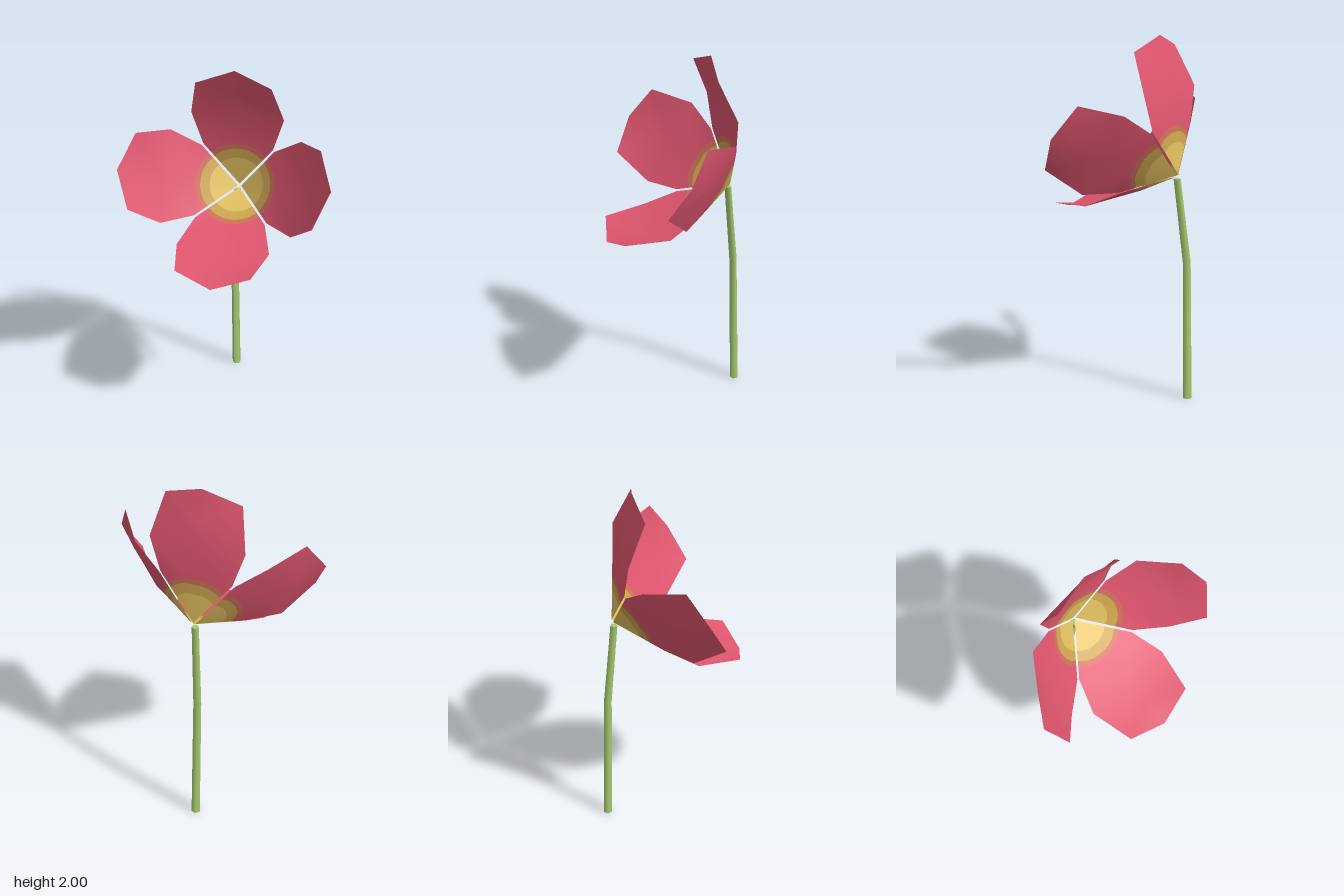
import * as THREE from 'three';

const mat = (name, color, side = THREE.FrontSide) => {
  const m = new THREE.MeshStandardMaterial({ color, side });
  m.name = name;
  return m;
};

// Coarse cupped petal: rows of left edge, spine, right edge (z is the flower axis)
function coarsePetal() {
  const p = [[0, 0.01, 0.006]];
  const rows = [ // half width, edge y, edge z, spine y, spine z
    [0.196, 0.205, 0.168, 0.213, 0.145],
    [0.257, 0.362, 0.277, 0.38, 0.28],
    [0.206, 0.5, 0.47, 0.468, 0.362],
  ];
  for (const [w, ey, ez, sy, sz] of rows) p.push([-w, ey, ez], [0, sy, sz], [w, ey, ez]);
  p.push([0, 0.578, 0.48]);
  const index = [0, 2, 1, 0, 3, 2];
  for (const a of [1, 4]) {
    for (const k of [a, a + 1]) index.push(k, k + 1, k + 4, k, k + 4, k + 3);
  }
  index.push(7, 8, 10, 8, 9, 10);
  const g = new THREE.BufferGeometry();
  g.setAttribute('position', new THREE.Float32BufferAttribute(p.flat(), 3));
  g.setIndex(index);
  g.computeVertexNormals();
  return g;
}

const lerp = (a, b, t) => a.map((v, i) => v + (b[i] - v) * t);
const radius = (v) => Math.hypot(v[0], v[1]);

// Keep the part of a polygon whose distance from the axis is inside (or outside) R
function clip(poly, R, inside) {
  const out = [];
  poly.forEach((a, i) => {
    const b = poly[(i + 1) % poly.length];
    const fa = radius(a) - R, fb = radius(b) - R;
    if (inside ? fa <= 0 : fa >= 0) out.push(a);
    if (fa * fb < 0) out.push(lerp(a, b, fa / (fa - fb)));
  });
  return out;
}

// Split the petal into concentric colour bands
function petalBands(limits) {
  const g = coarsePetal(), pos = g.attributes.position, nor = g.attributes.normal;
  const vert = (i) => [pos.getX(i), pos.getY(i), pos.getZ(i), nor.getX(i), nor.getY(i), nor.getZ(i)];
  const bands = Array.from({ length: limits.length + 1 }, () => ({ p: [], n: [] }));
  const emit = (band, poly) => {
    for (let i = 1; i + 1 < poly.length; i++) {
      for (const v of [poly[0], poly[i], poly[i + 1]]) {
        band.p.push(...v.slice(0, 3));
        band.n.push(...v.slice(3));
      }
    }
  };
  const N = 8, idx = g.index.array;
  for (let t = 0; t < idx.length; t += 3) {
    const [a, b, c] = [0, 1, 2].map((k) => vert(idx[t + k]));
    const at = (i, j) => a.map((v, k) => v + ((b[k] - v) * i + (c[k] - v) * j) / N);
    for (let i = 0; i < N; i++) {
      for (let j = 0; i + j < N; j++) {
        const tris = [[at(i, j), at(i + 1, j), at(i, j + 1)]];
        if (i + j < N - 1) tris.push([at(i + 1, j), at(i + 1, j + 1), at(i, j + 1)]);
        for (let poly of tris) {
          limits.forEach((R, k) => {
            emit(bands[k], clip(poly, R, true));
            poly = clip(poly, R, false);
          });
          emit(bands[limits.length], poly);
        }
      }
    }
  }
  return bands.map(({ p, n }) => {
    const out = new THREE.BufferGeometry();
    out.setAttribute('position', new THREE.Float32BufferAttribute(p, 3));
    out.setAttribute('normal', new THREE.Float32BufferAttribute(n, 3));
    return out;
  });
}

export function createModel() {
  const model = new THREE.Group();
  model.name = 'flower';

  // Blossom: four identical petals around a tilted axis
  const D = THREE.DoubleSide;
  const parts = [
    ['petalHeart', mat('heartYellow', 0xe2c060, D)],
    ['petalInnerRing', mat('ringOchre', 0xcda550, D)],
    ['petalHalo', mat('haloRust', 0xcf6f58, D)],
    ['petalBlade', mat('petalPink', 0xe0566f, D)],
  ];
  const geos = petalBands([0.15, 0.197, 0.222]);
  const blossom = new THREE.Group();
  blossom.name = 'blossom';
  for (let i = 0; i < 4; i++) {
    const petal = new THREE.Group();
    petal.name = 'petal' + (i + 1);
    parts.forEach(([name, material], k) => {
      const mesh = new THREE.Mesh(geos[k], material);
      mesh.name = name;
      petal.add(mesh);
    });
    petal.rotation.z = (i * Math.PI) / 2;
    blossom.add(petal);
  }
  const right = new THREE.Vector3(0.93, 0, -0.37).normalize();
  const up = new THREE.Vector3(-0.198, 0.861, -0.468).normalize();
  const axis = right.clone().cross(up).normalize();
  blossom.applyMatrix4(new THREE.Matrix4().makeBasis(right, up, axis).setPosition(-0.152, 1.26, -0.31));
  model.add(blossom);

  // Stem: a thin prism bent once below the blossom
  const path = [[-0.2, 0, -0.355], [-0.2, 0.78, -0.334], [-0.156, 1.242, -0.298]];
  const stemGeo = new THREE.CylinderGeometry(0.02, 0.025, 2, 5, 2);
  const sp = stemGeo.attributes.position;
  for (let i = 0; i < sp.count; i++) {
    const [x, y, z] = path[Math.round(sp.getY(i) + 1)];
    sp.setXYZ(i, sp.getX(i) + x, y, z - sp.getZ(i) * -1);
  }
  stemGeo.computeVertexNormals();
  const stem = new THREE.Mesh(stemGeo, mat('stemGreen', 0xa8cc70));
  stem.name = 'stem';
  model.add(stem);

  return model;
}
